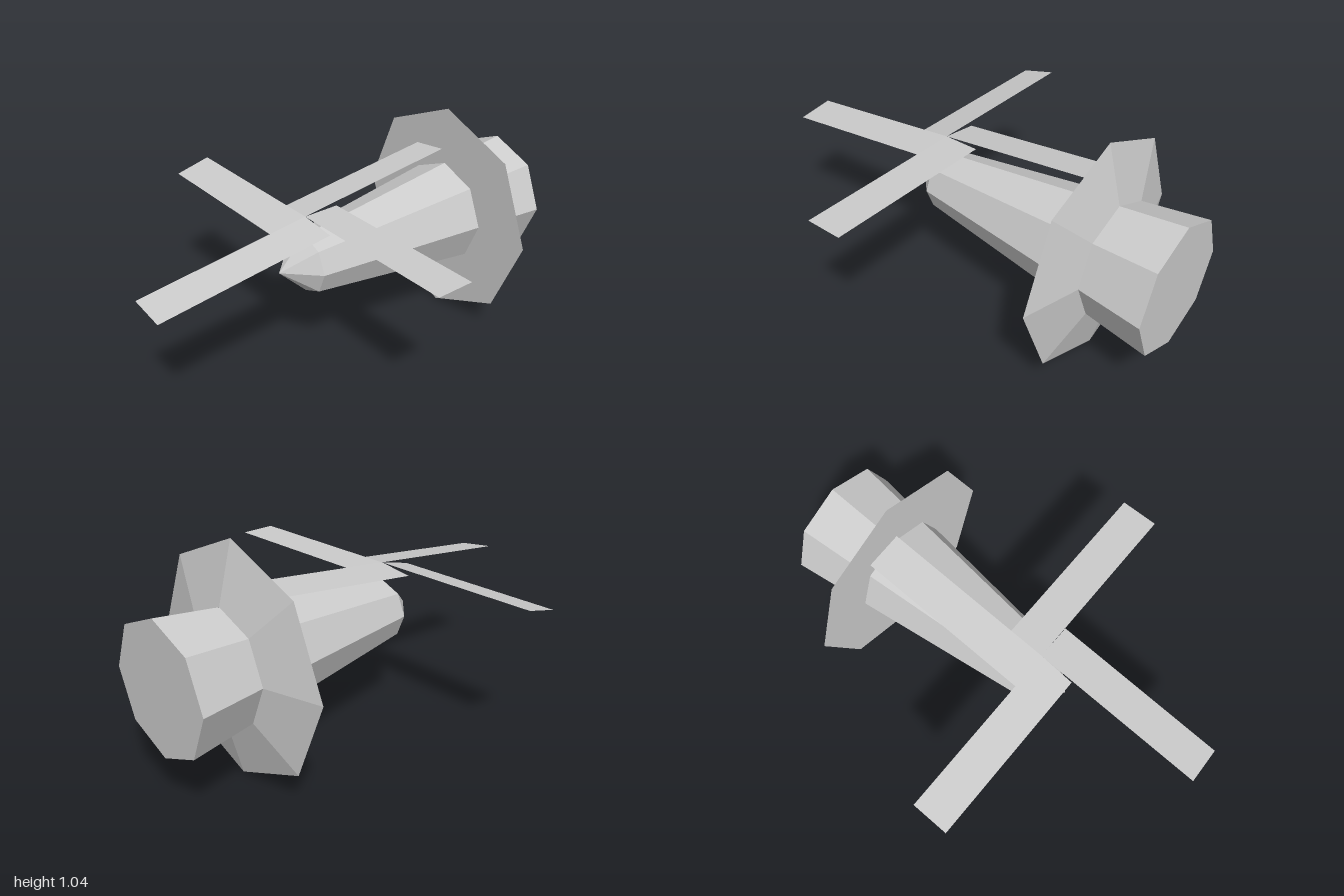
import * as THREE from 'three';

const SIDES = 8;
const AXIS_Y = 0.523;

// Octagonal solid of revolution along z, from [radius, z] pairs running back to front
function turned(name, profile, material) {
  const points = profile.map(([r, z]) => new THREE.Vector2(r, z));
  const geometry = new THREE.LatheGeometry(points, SIDES).rotateX(Math.PI / 2);
  const mesh = new THREE.Mesh(geometry, material);
  mesh.name = name;
  mesh.position.y = AXIS_Y;
  return mesh;
}

export function createModel() {
  const model = new THREE.Group();
  const solid = new THREE.MeshStandardMaterial({ color: 0xcccccc, flatShading: true });
  const sheet = new THREE.MeshStandardMaterial({ color: 0xcccccc, flatShading: true, side: THREE.DoubleSide });

  // Tapered body with pointed nose and flat back
  model.add(turned('body', [[0, -1], [0.295, -1], [0.14, 0.2], [0, 0.34]], solid));

  // Collar: flat in front, conical behind
  model.add(turned('collar', [[0.257, -0.705], [0.52, -0.635], [0.245, -0.635]], solid));

  // Tilted rotor of four pitched blades, each with one edge through the hub
  const rotor = new THREE.Group();
  rotor.name = 'rotor';
  rotor.position.set(0, 0.75, 0.194);
  rotor.rotation.x = THREE.MathUtils.degToRad(7.1);
  const blade = new THREE.PlaneGeometry(0.17, 0.81)
    .rotateX(-Math.PI / 2)
    .translate(0.085, 0, 0.405)
    .rotateZ(THREE.MathUtils.degToRad(-7));
  for (let i = 0; i < 4; i++) {
    const mesh = new THREE.Mesh(blade, sheet);
    mesh.name = `blade${i + 1}`;
    mesh.rotation.y = i * Math.PI / 2;
    rotor.add(mesh);
  }
  model.add(rotor);

  return model;
}
